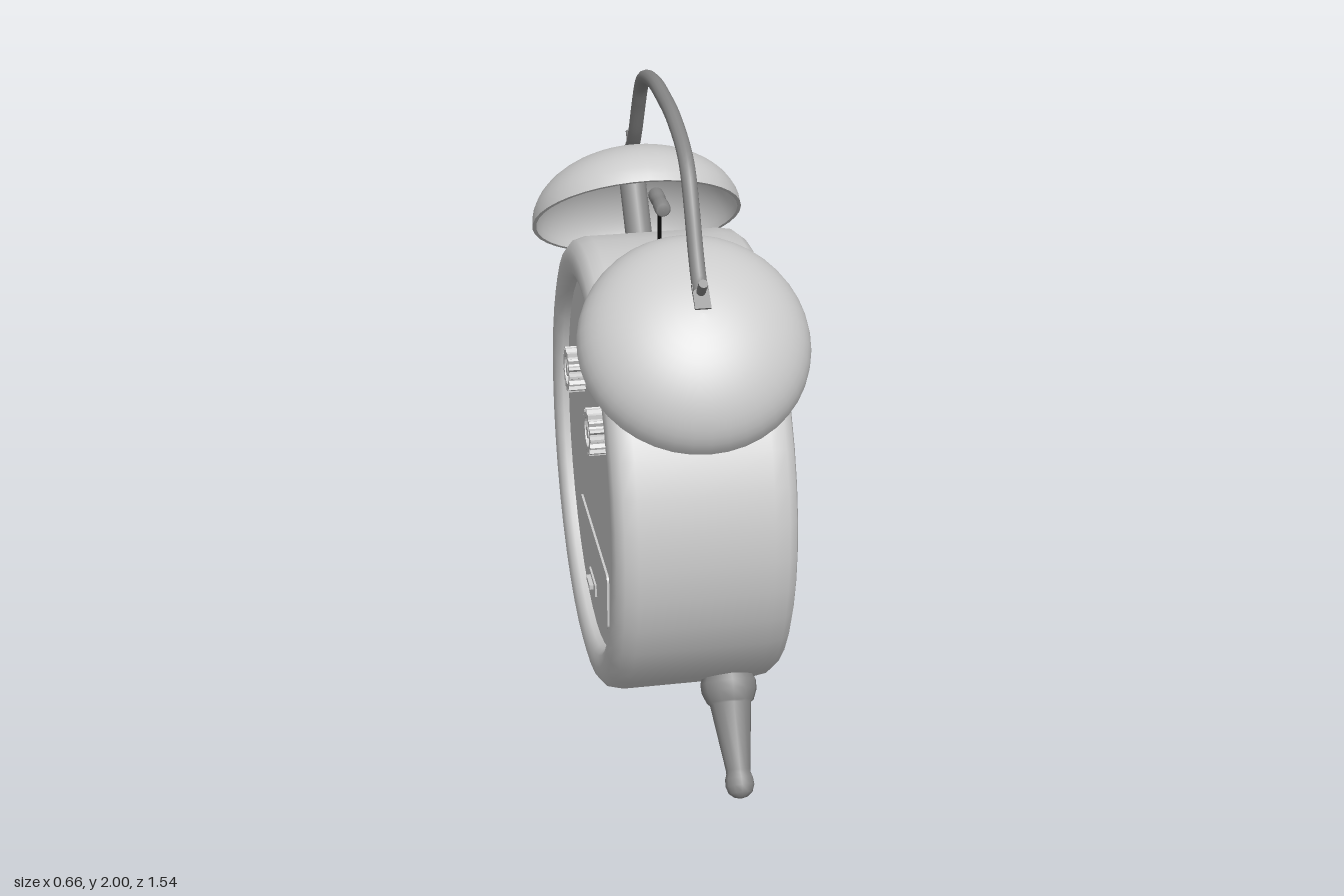
import * as THREE from 'three';

const V2 = (x, y) => new THREE.Vector2(x, y);
const V3 = (x, y, z) => new THREE.Vector3(x, y, z);
const UP = V3(0, 1, 0);

export function createModel() {
  const clock = new THREE.Group();
  clock.name = 'alarmClock';
  const light = new THREE.MeshStandardMaterial({ name: 'light metal', color: 0xcccccc, side: THREE.DoubleSide });
  const dark = new THREE.MeshStandardMaterial({ name: 'dark metal', color: 0x888888, side: THREE.DoubleSide });
  const black = new THREE.MeshStandardMaterial({ name: 'black', color: 0x060606 });

  const add = (name, geo, mat, parent = clock) => {
    const m = new THREE.Mesh(geo, mat);
    m.name = name;
    parent.add(m);
    return m;
  };
  const lathe = (pts, seg) => new THREE.LatheGeometry(pts.map(([r, y]) => V2(r, y)), seg);
  const CY = 0.825;
  // Lathe whose axis lies along x, through the clock centre
  const latheX = (name, pts) => {
    const m = add(name, lathe(pts, 40), light);
    m.rotation.z = -Math.PI / 2;
    m.position.y = CY;
  };
  // Cylinder whose axis lies along x, from x0 to x1
  const discX = (name, r, x0, x1, y, z, mat, seg = 40) => {
    const m = add(name, new THREE.CylinderGeometry(r, r, x1 - x0, seg), mat);
    m.rotation.z = -Math.PI / 2;
    m.position.set((x0 + x1) / 2, y, z);
  };

  // Round case with rolled rims at both ends, dial side towards +x
  latheX('case', [
    [0.562, -0.19], [0.567, -0.232], [0.585, -0.25], [0.62, -0.258], [0.655, -0.25], [0.68, -0.228], [0.69, -0.19],
    [0.69, 0], [0.69, 0.2], [0.683, 0.243], [0.664, 0.267], [0.64, 0.275], [0.62, 0.269], [0.611, 0.252],
  ]);
  // Sloping bezel down to the dial
  latheX('bezel', [[0.611, 0.252], [0.603, 0.222]]);
  latheX('bezelStep', [[0.603, 0.222], [0.59, 0.216]]);
  latheX('bezelWall', [[0.59, 0.216], [0.585, 0.165]]);
  discX('dial', 0.595, 0.16, 0.18, CY, 0, light);
  discX('backPlate', 0.575, -0.214, -0.194, CY, 0, light);

  // Ornate hands: half-widths along the length, mirrored across the axis
  const hand = (name, angle, x, half, hole) => {
    const pts = [...half.map(([u, v]) => V2(u, v)), ...half.slice().reverse().map(([u, v]) => V2(u, -v))];
    const shape = new THREE.Shape(pts);
    if (hole) shape.holes.push(new THREE.Path(hole.map(([u, v]) => V2(u, v))));
    const g = new THREE.ExtrudeGeometry(shape, { depth: 0.008, bevelEnabled: false });
    g.rotateZ(angle).rotateY(Math.PI / 2);
    add(name, g, black).position.set(x, CY, 0);
  };
  hand('hourHand', Math.PI / 2, 0.196, [
    [0, 0.008], [0.07, 0.008], [0.085, 0.016], [0.1, 0.007], [0.115, 0.01], [0.13, 0.018], [0.15, 0.027],
    [0.17, 0.018], [0.19, 0.008], [0.215, 0.012], [0.235, 0.007], [0.3, 0.002],
  ]);
  hand('minuteHand', 0, 0.206, [
    [0, 0.01], [0.06, 0.01], [0.075, 0.017], [0.09, 0.01], [0.115, 0.011], [0.13, 0.019], [0.145, 0.009],
    [0.165, 0.013], [0.195, 0.028], [0.215, 0.055], [0.235, 0.028], [0.265, 0.012], [0.3, 0.008],
    [0.335, 0.013], [0.355, 0.006], [0.43, 0.002],
  ], [[0.183, 0], [0.205, 0.016], [0.215, 0.036], [0.225, 0.016], [0.247, 0], [0.225, -0.016], [0.215, -0.036], [0.205, -0.016]]);
  discX('handHub', 0.043, 0.18, 0.22, CY, 0, black, 20);

  // Knurled setting knobs on the back
  const gear = new THREE.Shape();
  const teeth = 16;
  for (let i = 0; i < teeth * 4; i++) {
    const a = (i / (teeth * 4)) * Math.PI * 2;
    const r = i % 4 < 2 ? 0.071 : 0.06;
    gear[i ? 'lineTo' : 'moveTo'](r * Math.cos(a), r * Math.sin(a));
  }
  gear.holes.push(new THREE.Path().absarc(0, 0, 0.045, 0, Math.PI * 2, true));
  const gearGeo = new THREE.ExtrudeGeometry(gear, { depth: 0.054, bevelEnabled: false, curveSegments: 10 });
  gearGeo.rotateY(-Math.PI / 2);
  for (const z of [-0.22, 0.215]) {
    add('knobGrip', gearGeo, light).position.set(-0.212, 1.04, z);
    discX('knobCap', 0.047, -0.255, -0.21, 1.04, z, light, 20);
    discX('knobShaft', 0.02, -0.265, -0.21, 1.04, z, light, 12);
  }

  // Battery door with its catch
  const door = new THREE.Shape();
  const [dw, dh, dr] = [0.277, 0.092, 0.02];
  door.absarc(dw - dr, dh - dr, dr, 0, Math.PI / 2);
  door.absarc(dr - dw, dh - dr, dr, Math.PI / 2, Math.PI);
  door.absarc(dr - dw, dr - dh, dr, Math.PI, Math.PI * 1.5);
  door.absarc(dw - dr, dr - dh, dr, Math.PI * 1.5, Math.PI * 2);
  const doorGeo = new THREE.ExtrudeGeometry(door, { depth: 0.009, bevelEnabled: false, curveSegments: 4 });
  add('batteryDoor', doorGeo.rotateY(-Math.PI / 2), light).position.set(-0.212, 0.487, 0);
  add('doorCatch', new THREE.BoxGeometry(0.022, 0.04, 0.12), light).position.set(-0.216, 0.408, 0);
  add('doorCatchLip', new THREE.BoxGeometry(0.02, 0.015, 0.07), light).position.set(-0.23, 0.408, 0);

  // Bell shell: outer dome, inner dome and the flat rim between them
  const dome = [];
  const N = 14;
  for (let i = 0; i <= N; i++) {
    const a = (i / N) * Math.PI / 2;
    dome.push([0.328 * Math.cos(a), 0.21 * Math.sin(a)]);
  }
  const bellGeo = lathe(dome, 40);
  const bellInnerGeo = lathe(dome.map(([r, y]) => [r * 0.965, y * 0.95]).reverse(), 40);
  const bellRimGeo = new THREE.RingGeometry(0.328 * 0.965, 0.328, 40).rotateX(Math.PI / 2);

  // Foot: ball tip, tapered leg, flared collar; measured up from the ball centre
  const footGeo = lathe([
    [0.001, -0.045], [0.02, -0.041], [0.036, -0.028], [0.044, -0.006], [0.042, 0.016], [0.037, 0.03], [0.037, 0.04],
    [0.063, 0.238], [0.071, 0.243], [0.084, 0.275], [0.085, 0.302], [0.072, 0.335], [0.07, 0.37],
  ], 12);

  for (const s of [1, -1]) {
    const side = s > 0 ? 'Left' : 'Right';
    const bell = new THREE.Group();
    bell.name = 'bell' + side;
    bell.position.set(0, 1.42, 0.4875 * s);
    bell.quaternion.setFromUnitVectors(UP, V3(0, 0.755, 0.656 * s).normalize());
    clock.add(bell);
    add('bellOuter', bellGeo, light, bell);
    add('bellInner', bellInnerGeo, light, bell);
    add('bellRim', bellRimGeo, light, bell);
    add('bellPost', new THREE.CylinderGeometry(0.042, 0.042, 0.4, 16), dark, bell);
    // Handle tab and the bolt through it
    add('handleTab', new THREE.BoxGeometry(0.045, 0.012, 0.075), dark, bell).position.set(0, 0.211, -0.048 * s);
    add('handleBolt', new THREE.CylinderGeometry(0.013, 0.013, 0.09, 10), dark, bell).position.set(0, 0.222, -0.06 * s);

    const foot = add('foot' + side, footGeo, dark);
    foot.position.set(0.118, 0.045, 0.635 * s);
    foot.quaternion.setFromUnitVectors(UP, V3(0, 0.78, -0.625 * s).normalize());
  }

  // Carrying handle arched from bell to bell
  const half = [[0.58, 1.622], [0.553, 1.642], [0.508, 1.7], [0.439, 1.815], [0.386, 1.89], [0.323, 1.932], [0.153, 1.972]];
  const path = [...half.map(([z, y]) => V3(0, y, z)), V3(0, 1.978, 0), ...half.slice().reverse().map(([z, y]) => V3(0, y, -z))];
  add('handle', new THREE.TubeGeometry(new THREE.CatmullRomCurve3(path), 72, 0.022, 12), dark);

  // Striker between the bells
  add('strikerStem', new THREE.CylinderGeometry(0.006, 0.006, 0.17, 8), black).position.set(-0.013, 1.57, 0);
  const hammer = add('strikerHammer', lathe([
    [0.001, -0.066], [0.018, -0.066], [0.023, -0.06], [0.023, -0.02], [0.02, -0.015],
    [0.02, 0.015], [0.023, 0.02], [0.023, 0.06], [0.018, 0.066], [0.001, 0.066],
  ], 16), dark);
  hammer.rotation.x = Math.PI / 2;
  hammer.position.set(-0.013, 1.66, 0);

  return clock;
}
